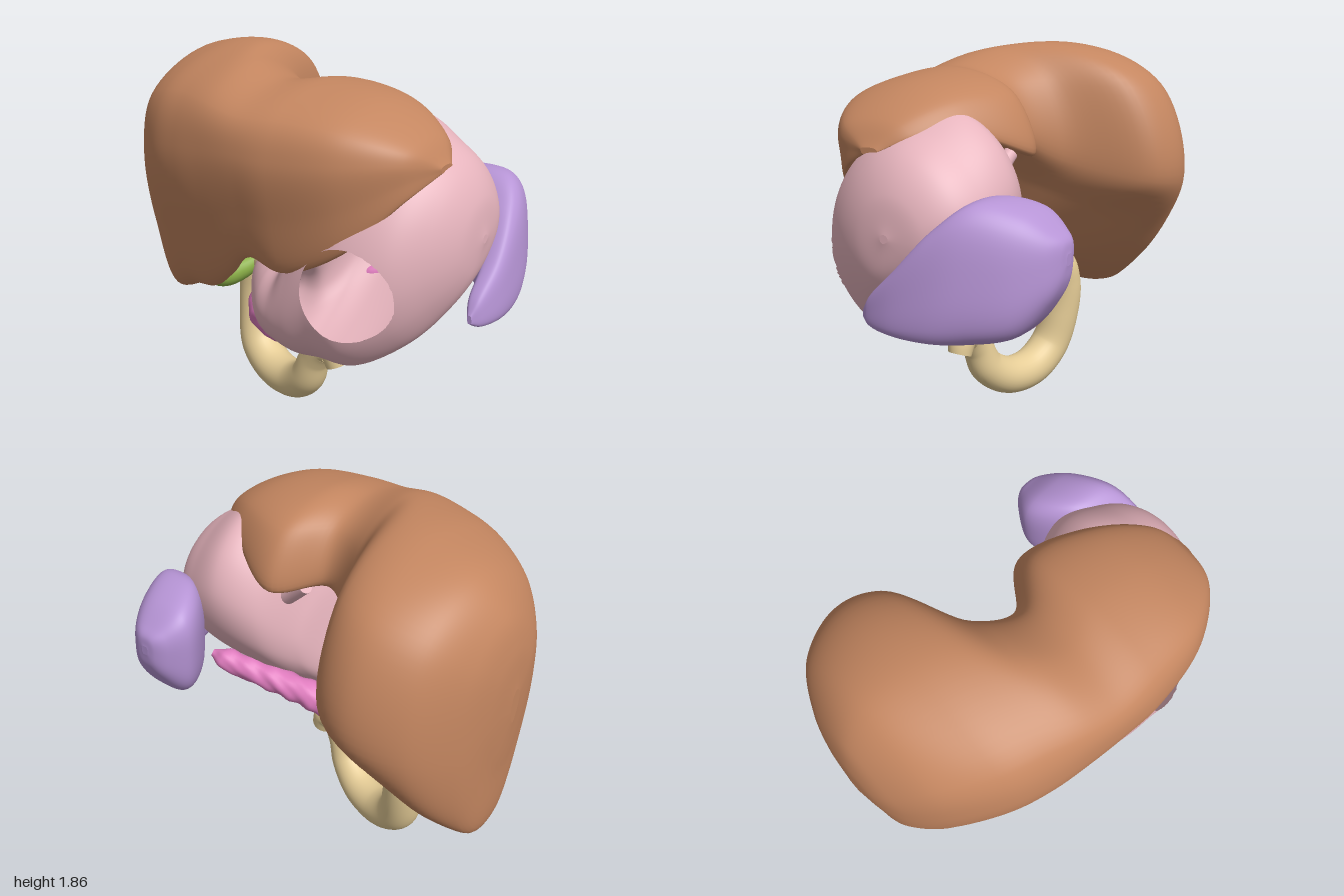
import * as THREE from 'three';

const V = (x, y, z) => new THREE.Vector3(x, y, z);
const mix = THREE.MathUtils.lerp;

// Skin a list of closed rings (equal point counts), with a flat cap at each end.
function skin(rows) {
  const n = rows[0].length, pos = [], idx = [];
  rows.forEach(r => r.forEach(p => pos.push(p.x, p.y, p.z)));
  for (let i = 0; i < rows.length - 1; i++) {
    for (let j = 0; j < n; j++) {
      const k = (j + 1) % n, a = i * n + j, b = i * n + k;
      idx.push(a, b, b + n, a, b + n, a + n);
    }
  }
  [rows[0], rows[rows.length - 1]].forEach((r, end) => {
    const base = pos.length / 3, c = V(0, 0, 0);
    r.forEach(p => { pos.push(p.x, p.y, p.z); c.addScaledVector(p, 1 / n); });
    pos.push(c.x, c.y, c.z);
    for (let j = 0; j < n; j++) {
      const k = (j + 1) % n;
      idx.push(base + n, base + (end ? j : k), base + (end ? k : j));
    }
  });
  // turn the faces outward if the enclosed volume is negative
  let vol = 0;
  const at = i => V(pos[3 * i], pos[3 * i + 1], pos[3 * i + 2]);
  for (let t = 0; t < idx.length; t += 3) vol += at(idx[t]).dot(at(idx[t + 1]).cross(at(idx[t + 2])));
  if (vol < 0) idx.reverse();
  const g = new THREE.BufferGeometry();
  g.setAttribute('position', new THREE.Float32BufferAttribute(pos, 3));
  g.setIndex(idx);
  g.computeVertexNormals();
  return g;
}

// Smooth a few control rings both around and along.
function loft(stations, around = 72, along = 80) {
  const rings = stations.map(s => {
    const c = new THREE.CatmullRomCurve3(s, true);
    return Array.from({ length: around }, (_, j) => c.getPoint(j / around));
  });
  const rails = rings[0].map((_, j) => new THREE.CatmullRomCurve3(rings.map(r => r[j])));
  return skin(Array.from({ length: along + 1 }, (_, i) => rails.map(c => c.getPoint(i / along))));
}

// Points around a unit circle, passed to a function that shapes them.
const ring = (n, shape) => Array.from({ length: n }, (_, j) => {
  const a = j / n * Math.PI * 2;
  return shape(Math.cos(a), Math.sin(a));
});

// Tube of varying radius; each station is [x, y, z, radius].
function organTube(stations, segs = 70, sides = 28) {
  const path = new THREE.CatmullRomCurve3(stations.map(s => V(s[0], s[1], s[2])));
  const radii = new THREE.CatmullRomCurve3(stations.map((s, i) => V(i, s[3], 0)), false, 'catmullrom', 0.5);
  const rows = [];
  let nrm = V(0, 0, 1).cross(path.getTangent(0));
  for (let i = 0; i <= segs; i++) {
    const t = path.getTangent(i / segs), c = path.getPoint(i / segs), r = radii.getPoint(i / segs).y;
    nrm = nrm.clone().addScaledVector(t, -nrm.dot(t)).normalize();
    const bin = t.clone().cross(nrm);
    rows.push(ring(sides, (u, w) => c.clone().addScaledVector(nrm, r * u).addScaledVector(bin, r * w)));
  }
  return skin(rows);
}

// Liver section from its lower edge, front depth, top height, back point and the pull of its underside.
function liverSection([x, edgeZ, edgeY, frontZ, topY, backZ, backY, underZ, underY]) {
  const under = new THREE.QuadraticBezierCurve3(V(x, backY, backZ), V(x, underY, underZ), V(x, edgeY, edgeZ));
  return [
    V(x, edgeY, edgeZ),
    V(x, mix(edgeY, topY, .33), mix(edgeZ, frontZ, .75)),
    V(x, mix(edgeY, topY, .65), frontZ),
    V(x, mix(edgeY, topY, .86), mix(frontZ, backZ, .08)),
    V(x, topY, mix(backZ, frontZ, .5)),
    V(x, mix(backY, topY, .73), mix(backZ, frontZ, .12)),
    V(x, backY, backZ),
    under.getPoint(.33),
    under.getPoint(.67),
  ];
}

// Cut a round window in the front wall, snapping its rim to a true circle.
function cutWindow(g, cx, cy, R, zMin) {
  const p = g.attributes.position, idx = g.index.array, keep = [];
  const flags = Array.from({ length: p.count }, (_, i) =>
    p.getZ(i) > zMin && Math.hypot(p.getX(i) - cx, p.getY(i) - cy) < R);
  for (let t = 0; t < idx.length; t += 3) {
    const f = [idx[t], idx[t + 1], idx[t + 2]];
    if (!f.every(i => flags[i])) keep.push(...f);
  }
  new Set(keep).forEach(i => {
    if (!flags[i]) return;
    const dx = p.getX(i) - cx, dy = p.getY(i) - cy, s = R / Math.hypot(dx, dy);
    p.setXY(i, cx + dx * s, cy + dy * s);
  });
  g.setIndex(keep);
}

export function createModel() {
  const model = new THREE.Group();
  const add = (name, geometry, color, side = THREE.FrontSide) => {
    const mesh = new THREE.Mesh(geometry, new THREE.MeshStandardMaterial({ color, side }));
    mesh.name = name;
    model.add(mesh);
  };

  // Liver: big right lobe tapering to a thin left lobe draped over the stomach
  const liver = [
    [-1, -.03, 1.1, 0, 1.28, -.06, 1.17, -.05, 1.11],
    [-.98, 0, .85, .13, 1.48, -.21, 1.15, -.15, .8],
    [-.93, .05, .47, .25, 1.63, -.38, 1.08, -.3, .33],
    [-.8, .2, .52, .4, 1.77, -.58, 1.12, -.42, .4],
    [-.57, .31, .63, .55, 1.84, -.67, 1.17, -.32, .62],
    [-.38, .38, .69, .61, 1.855, -.59, 1.2, -.08, .9],
    [-.2, .46, .82, .64, 1.82, -.19, 1.3, .15, 1.1],
    [0, .54, .99, .66, 1.76, -.06, 1.42, .3, 1.35],
    [.2, .56, .97, .66, 1.77, -.25, 1.4, .3, 1.68],
    [.5, .53, 1.12, .6, 1.72, -.13, 1.52, .25, 1.75],
    [.72, .42, 1.36, .44, 1.6, .05, 1.53, .25, 1.54],
    [.8, .25, 1.46, .26, 1.49, .17, 1.475, .21, 1.47],
  ];
  add('liver', loft(liver.map(liverSection), 96, 110), 0xc48660);

  // Stomach: leaning egg-shaped sections [x, z, y, half length, half width], slimmer at the lower back
  const lean = -0.47, ls = Math.sin(lean), lc = Math.cos(lean);
  const stomach = [
    [-.27, .14, .76, .04, .04], [-.2, .2, .75, .1, .1], [-.1, .28, .74, .145, .145], [0, .34, .73, .18, .18],
    [.1, .36, .74, .21, .2], [.2, .28, .88, .39, .28], [.32, .2, 1.01, .53, .36], [.5, .17, 1.08, .59, .4],
    [.7, .14, 1.1, .47, .37], [.82, .1, 1.13, .34, .28], [.895, .07, 1.14, .19, .16], [.92, .06, 1.14, .02, .02],
  ];
  const wall = loft(stomach.map(([x, z, y, a, b]) => ring(16, (u, w) => {
    const across = b * w * (w < 0 ? 1 + .32 * u : 1);
    return V(x, y + a * u * lc - across * ls, z + a * u * ls + across * lc);
  })), 140, 150);
  cutWindow(wall, .53, .95, .21, .2);
  add('stomach', wall, 0xe6b4bd, THREE.DoubleSide);
  add('oesophagusStub', organTube([[.32, 1.24, -.04, .07], [.22, 1.3, -.06, .045], [.12, 1.38, -.08, .035]], 16, 20), 0xe6b4bd);

  // Spleen: curved slab, sections along z as [z, inner x, outer x, low y, high y]
  const spleen = [
    [.175, .9, .92, .78, .82], [.13, .88, .95, .755, .89], [0, .87, .985, .74, 1.02], [-.18, .78, .985, .73, 1.22],
    [-.32, .6, .955, .73, 1.325], [-.5, .5, .875, .77, 1.29], [-.61, .55, .785, .91, 1.21], [-.65, .6, .72, 1.0, 1.17],
    [-.66, .64, .68, 1.07, 1.12],
  ];
  const squash = v => Math.sign(v) * Math.abs(v) ** 0.62;
  add('spleen', loft(spleen.map(([z, x0, x1, y0, y1]) => ring(16, (u, w) => {
    const y = mix(y0, y1, .5 + squash(w) / 2);
    return V(mix(x0, x1, .5 + squash(u) / 2) - .1 * (y - .95), y, z);
  }))), 0xb795d6);

  // Pancreas: tail by the spleen, broad head and hooked lower end, with a lumpy surface
  const pancreas = organTube([
    [.62, .87, -.25, .02], [.56, .85, -.23, .055], [.35, .78, -.14, .065], [.12, .71, -.05, .075], [-.08, .625, .03, .095],
    [-.23, .55, .04, .13], [-.27, .46, .06, .13], [-.19, .4, .08, .09], [-.09, .41, .1, .06], [-.03, .43, .12, .02],
  ], 120, 36);
  const pp = pancreas.attributes.position, pn = pancreas.attributes.normal;
  for (let i = 0; i < pp.count; i++) {
    const x = pp.getX(i), y = pp.getY(i), z = pp.getZ(i);
    const d = .003 * (Math.sin(55 * x + 3 * Math.sin(20 * y)) + Math.sin(60 * y + 40 * z) * Math.cos(55 * z - 40 * x));
    pp.setXYZ(i, x + d * pn.getX(i), y + d * pn.getY(i), z + d * pn.getZ(i));
  }
  pancreas.computeVertexNormals();
  add('pancreas', pancreas, 0xdf7cbe);

  // Duodenum: C-shaped loop with a flat cut end
  add('duodenum', organTube([
    [-.2, .76, .17, .06], [-.32, .74, .06, .07], [-.43, .69, -.05, .085], [-.475, .56, -.065, .095], [-.47, .38, -.05, .1],
    [-.42, .2, -.01, .105], [-.29, .108, .03, .105], [-.12, .11, .08, .1], [.01, .2, .13, .092], [.07, .33, .15, .08],
    [.13, .41, .16, .078], [.19, .41, .16, .072], [.22, .34, .16, .06],
  ], 110, 32), 0xe6cd97);

  // Gallbladder: small pear under the liver edge
  add('gallbladder', organTube([
    [-.54, .68, .27, .01], [-.51, .68, .26, .05], [-.45, .685, .23, .068], [-.38, .715, .17, .058], [-.3, .77, .1, .03], [-.24, .78, .08, .012],
  ], 40, 24), 0x8fb54a);

  return model;
}
